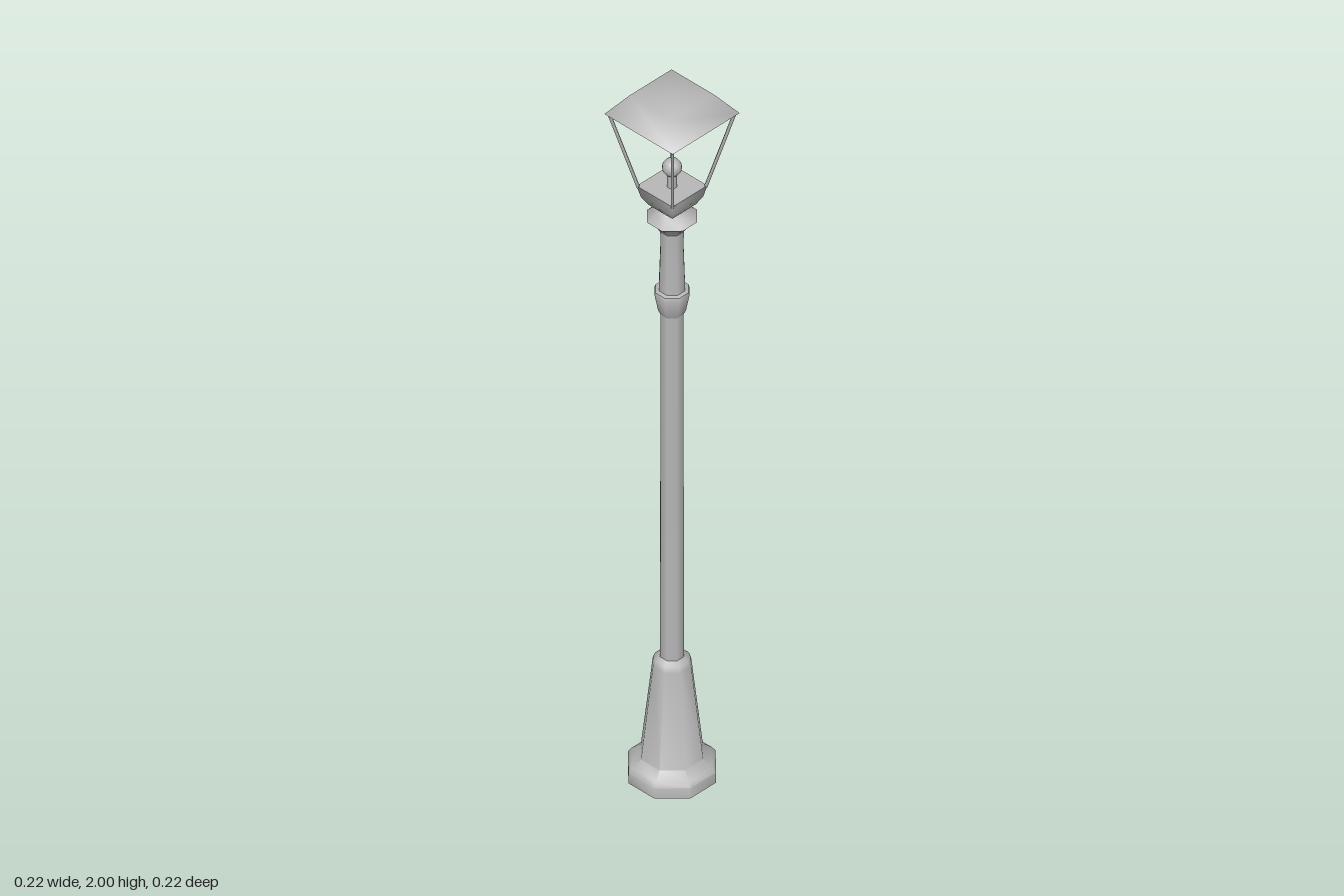
import * as THREE from 'three';
import { toCreasedNormals } from 'three/addons/utils/BufferGeometryUtils.js';

export function createModel() {
  const group = new THREE.Group();
  const metal = new THREE.MeshStandardMaterial({ color: 0xb8b8b8 });

  function add(name, geometry) {
    const mesh = new THREE.Mesh(geometry, metal);
    mesh.name = name;
    group.add(mesh);
    return mesh;
  }

  // Revolved profile with flat sides facing the axes; sizes are half-widths across the flats
  function turned(name, sides, profile, crease) {
    const k = 1 / Math.cos(Math.PI / sides);
    const points = profile.map(([r, y]) => new THREE.Vector2(r * k, y));
    const geometry = new THREE.LatheGeometry(points, sides, Math.PI / sides);
    return add(name, crease ? toCreasedNormals(geometry, crease) : geometry);
  }

  // Octagonal post
  turned('base', 8, [[0, 0], [0.103, 0], [0.103, 0.03], [0.095, 0.042], [0.073, 0.06],
    [0.045, 0.325], [0.04, 0.34], [0.027, 0.35]], 0.9);
  turned('pole', 8, [[0.028, 0.34], [0.027, 1.37]]);
  turned('poleRing', 8, [[0.027, 1.36], [0.033, 1.375], [0.041, 1.42], [0.039, 1.428], [0.029, 1.432]], 0.9);
  turned('neck', 8, [[0.031, 1.43], [0.027, 1.56], [0.028, 1.61]]);
  turned('collar', 8, [[0.028, 1.605], [0.036, 1.618], [0.059, 1.642], [0.036, 1.664], [0.03, 1.672]], 0.9);

  // Square lantern: bowl, lid of the bowl, bulb
  turned('lanternBowl', 4, [[0.03, 1.668], [0.04, 1.677], [0.052, 1.7], [0.059, 1.732]]);
  turned('lanternFloor', 4, [[0.059, 1.732], [0, 1.732]]);
  turned('bulbStem', 8, [[0.012, 1.73], [0.012, 1.77]]);
  add('bulb', new THREE.SphereGeometry(0.024, 12, 8)).position.y = 1.787;

  // Four corner bars spreading towards the roof
  for (const sx of [-1, 1]) {
    for (const sz of [-1, 1]) {
      const from = new THREE.Vector3(sx * 0.056, 1.728, sz * 0.056);
      const to = new THREE.Vector3(sx * 0.105, 1.947, sz * 0.105);
      const bar = add('cornerBar', new THREE.CylinderGeometry(0.005, 0.005, from.distanceTo(to), 4));
      bar.position.copy(from).add(to).multiplyScalar(0.5);
      bar.quaternion.setFromUnitVectors(new THREE.Vector3(0, 1, 0), to.sub(from).normalize());
    }
  }

  // Roof with softly shaded sides and a flat underside
  turned('roof', 4, [[0.1125, 1.945], [0.07, 2], [0, 2]]);
  turned('roofUnderside', 4, [[0, 1.945], [0.1125, 1.945]]);

  return group;
}
